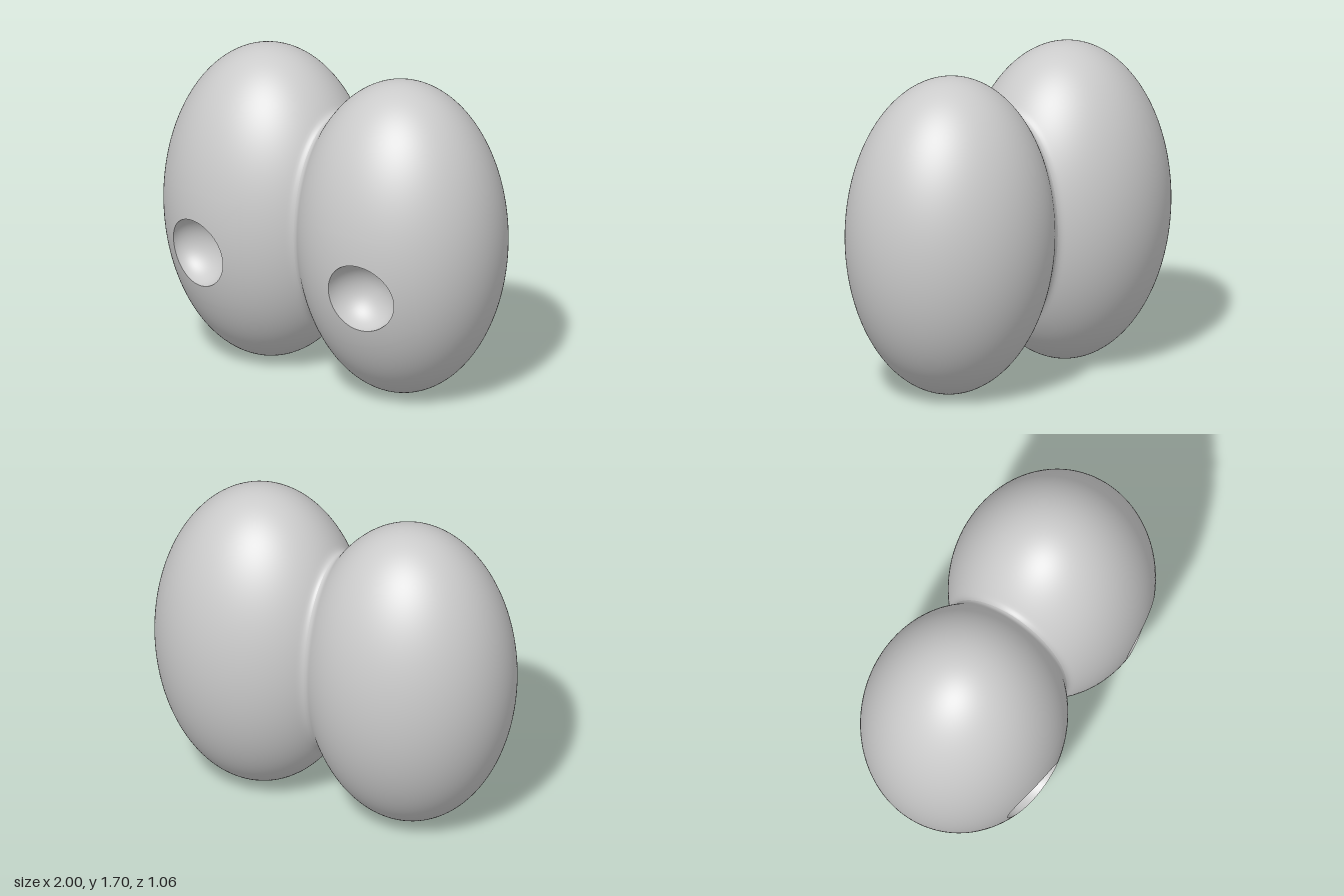
import * as THREE from 'three';

// Each lobe is an ellipsoid cut at x = 0
const CX = 0.435, CY = 0.85, RX = 0.565, RY = 0.85, RZ = 0.53;
const FILLET = 0.035;
// Round socket in the front of each lobe
const SOCKET = { x: 0.535, y: 0.675, z: 0.49, r: 0.187, depth: 0.17 };
// Grid over the lobe, and the block of cells left open for the socket
const ROWS = 96, COLS = 160, I0 = 21, I1 = 63, J0 = -15, J1 = 5;

const section = (x) => Math.sqrt(Math.max(0, 1 - ((x - CX) / RX) ** 2));
const frontZ = (x, y) => RZ * Math.sqrt(Math.max(0, section(x) ** 2 - ((y - CY) / RY) ** 2));

// Point of the lobe grid: rows run from the seam to the outer pole, columns around x
function lobePoint(i, j) {
  const start = Math.acos(CX / RX);
  const a = start + (Math.PI - start) * i / ROWS;
  const x = i === 0 ? 0 : CX - RX * Math.cos(a);
  const slope = CX / (RX * RX) / section(0);
  const s = section(x) + (x < FILLET ? slope * (FILLET - x) ** 2 / (2 * FILLET) : 0);
  const t = j / COLS * Math.PI * 2;
  return [x, CY + RY * s * Math.sin(t), RZ * s * Math.cos(t)];
}

// Joins successive closed rings of vertex indices, outermost first
function joinRings(rings, index) {
  for (let k = 0; k + 1 < rings.length; k++) {
    const outer = rings[k], inner = rings[k + 1], n = outer.length;
    for (let m = 0; m < n; m++) {
      const q = (m + 1) % n;
      index.push(outer[m], outer[q], inner[q], outer[m], inner[q], inner[m]);
    }
  }
}

function makeGeometry(points, index, side) {
  const position = points.flatMap(([x, y, z]) => [x * side, y, z]);
  const faces = side > 0 ? index : index.slice().reverse();
  const geometry = new THREE.BufferGeometry();
  geometry.setAttribute('position', new THREE.Float32BufferAttribute(position, 3));
  geometry.setIndex(faces);
  geometry.computeVertexNormals();
  return geometry;
}

function buildLobe(side, material) {
  const points = [], index = [];
  const id = (i, j) => i * COLS + (j + COLS) % COLS;

  // Shell
  for (let i = 0; i <= ROWS; i++)
    for (let j = 0; j < COLS; j++) points.push(lobePoint(i, j));
  for (let i = 0; i < ROWS; i++)
    for (let j = J0; j < J0 + COLS; j++) {
      if (i >= I0 && i < I1 && j < J1) continue;
      const a = id(i, j), b = id(i + 1, j), c = id(i + 1, j + 1), d = id(i, j + 1);
      if (i < ROWS - 1) index.push(a, b, c);
      index.push(a, c, d);
    }

  // Skin between the open block and the round rim
  const border = [];
  for (let i = I0; i < I1; i++) border.push(id(i, J0));
  for (let j = J0; j < J1; j++) border.push(id(I1, j));
  for (let i = I1; i > I0; i--) border.push(id(i, J1));
  for (let j = J1; j > J0; j--) border.push(id(I0, j));
  const rim = border.map((v) => {
    const t = Math.atan2(points[v][1] - SOCKET.y, points[v][0] - SOCKET.x);
    const x = SOCKET.x + SOCKET.r * Math.cos(t), y = SOCKET.y + SOCKET.r * Math.sin(t);
    return [x, y, frontZ(x, y)];
  });
  const rings = [border], STEPS = 10;
  for (let k = 1; k <= STEPS; k++) {
    rings.push(border.map((v, m) => {
      const x = THREE.MathUtils.lerp(points[v][0], rim[m][0], k / STEPS);
      const y = THREE.MathUtils.lerp(points[v][1], rim[m][1], k / STEPS);
      return points.push([x, y, frontZ(x, y)]) - 1;
    }));
  }
  joinRings(rings, index);
  const shell = new THREE.Mesh(makeGeometry(points, index, side), material);
  shell.name = 'lobeShell';

  // Bowl of the socket, with a crisp rim
  const bowlPoints = [], bowlIndex = [], bowlRings = [], BOWL = 18;
  for (let k = 0; k < BOWL; k++) {
    const a = k / BOWL * Math.PI / 2, sin = Math.sin(a), cos = Math.cos(a);
    bowlRings.push(rim.map(([x, y, z]) => bowlPoints.push([
      SOCKET.x + (x - SOCKET.x) * cos,
      SOCKET.y + (y - SOCKET.y) * cos,
      THREE.MathUtils.lerp(z, SOCKET.z, sin) - SOCKET.depth * sin,
    ]) - 1));
  }
  joinRings(bowlRings, bowlIndex);
  const bottom = bowlPoints.push([SOCKET.x, SOCKET.y, SOCKET.z - SOCKET.depth]) - 1;
  const last = bowlRings[BOWL - 1];
  last.forEach((v, m) => bowlIndex.push(v, last[(m + 1) % last.length], bottom));
  const bowl = new THREE.Mesh(makeGeometry(bowlPoints, bowlIndex, side), material);
  bowl.name = 'socketBowl';

  const lobe = new THREE.Group();
  lobe.name = side > 0 ? 'leftLobe' : 'rightLobe';
  lobe.add(shell, bowl);
  return lobe;
}

export function createModel() {
  const material = new THREE.MeshStandardMaterial({ color: 0xcccccc });
  const model = new THREE.Group();
  model.name = 'twinLobes';
  for (const side of [1, -1]) model.add(buildLobe(side, material));
  return model;
}
